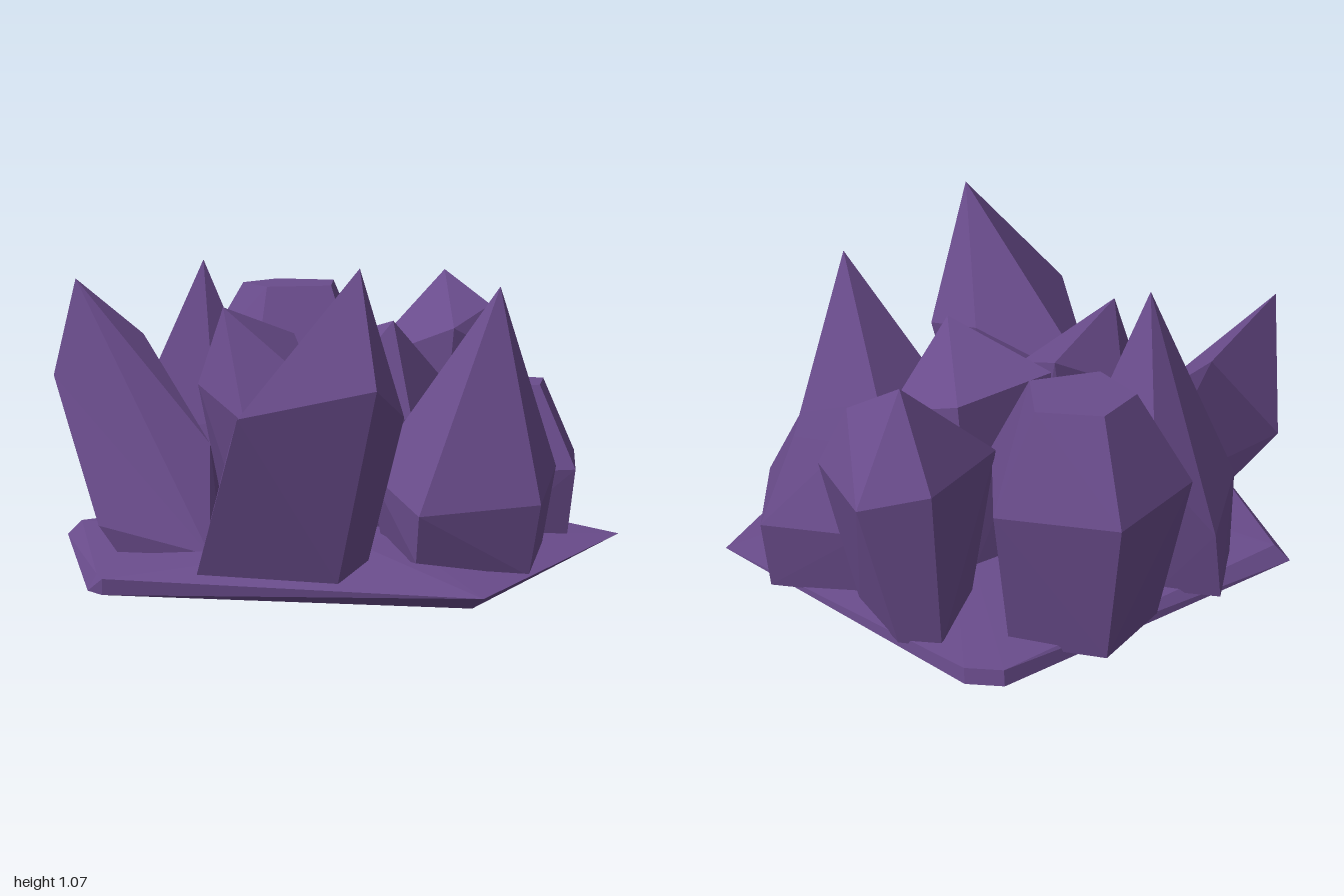
import * as THREE from 'three';
import { ConvexGeometry } from 'three/addons/geometries/ConvexGeometry.js';

const amethyst = new THREE.MeshStandardMaterial({ color: 0x6a4c8c });
amethyst.name = 'amethyst purple';

// Faceted solid spanned by corner points [x, y, z]
function facet(name, corners) {
  const points = corners.map(([x, y, z]) => new THREE.Vector3(x, y, z));
  const mesh = new THREE.Mesh(new ConvexGeometry(points), amethyst);
  mesh.name = name;
  return mesh;
}

// Level five-sided ring of foot corners around (cx, cz)
function footRing(cx, cz, radius, turn) {
  return Array.from({ length: 5 }, (_, i) => {
    const a = turn + (i * Math.PI * 2) / 5;
    return [cx + radius * Math.sin(a), 0.03, cz - radius * Math.cos(a)];
  });
}

// Puts a flat outline of [x, z] pairs at height y
const atHeight = (y, outline) => outline.map(([x, z]) => [x, y, z]);

export function createModel() {
  const group = new THREE.Group();
  group.name = 'crystalCluster';

  // Rock slab, undercut at the front and left, with a low ridge in the middle
  group.add(facet('baseSlab', [
    ...atHeight(0, [[0.88, 0.12], [0.25, 0.93], [-0.88, 0.53], [-0.92, 0.46], [-0.92, -0.45], [0.27, -0.93], [0.39, -0.88]]),
    ...atHeight(0.045, [[0.985, 0.12], [0.27, 0.995]]),
    ...atHeight(0.055, [[-0.88, 0.54], [-0.89, 0.46], [-0.87, -0.42], [0.27, -0.92], [0.39, -0.87]]),
    [-0.03, 0.12, 0.45], [0.12, 0.12, 0.35],
  ]));

  // Pointed crystals: tip, shoulder corners, then foot corners
  group.add(facet('frontTallCrystal', [
    [-0.08, 1.065, 0.77],
    [-0.06, 0.7, 0.94], [0.09, 0.57, 0.65], [-0.02, 0.63, 0.43], [-0.42, 0.42, 0.23], [-0.48, 0.61, 0.84],
    [-0.58, 0.07, 0.6], [-0.15, 0.06, 0.77], [-0.02, 0.08, 0.6], [-0.1, 0.04, 0.45], [-0.42, 0.04, 0.28],
  ]));
  group.add(facet('frontLeftCrystal', [
    [0.45, 0.97, 0.48],
    [0.12, 0.26, 0.74], [0.53, 0.28, 0.72], [0.7, 0.33, 0.3], [0.4, 0.4, 0.09], [0.05, 0.33, 0.28],
    [0.12, 0.1, 0.7], [0.5, 0.04, 0.69], [0.65, 0.04, 0.3], [0.4, 0.04, 0.14], [0.1, 0.04, 0.3],
  ]));
  group.add(facet('rightLeaningCrystal', [
    [-0.89, 0.95, -0.26],
    [-0.985, 0.64, -0.05], [-0.92, 0.42, -0.28], [-0.65, 0.745, -0.3], [-0.46, 0.4, 0.04], [-0.86, 0.16, 0.2],
    [-0.78, 0.05, -0.04], [-0.8, 0.07, 0.21], [-0.5, 0.07, 0.32], [-0.45, 0.1, 0.22], [-0.55, 0.04, 0.06],
  ]));
  group.add(facet('backRightCrystal', [
    [-0.44, 1.01, -0.25],
    [-0.72, 0.35, -0.38], [-0.53, 0.3, -0.7], [-0.33, 0.55, -0.64], [-0.24, 0.52, -0.22], [-0.42, 0.45, -0.12],
    [-0.57, 0.04, -0.67], [-0.38, 0.04, -0.57], [-0.7, 0.05, -0.42], [-0.3, 0.03, -0.25], [-0.5, 0.03, -0.16],
  ]));
  group.add(facet('backLeftCrystal', [
    [0.51, 0.93, -0.57], [0.65, 0.81, -0.42],
    [0.46, 0.63, -0.76], [0.69, 0.585, -0.7], [0.74, 0.6, -0.37], [0.48, 0.74, -0.29], [0.16, 0.6, -0.45],
    [0.42, 0.04, -0.71], [0.55, 0.04, -0.64], [0.61, 0.04, -0.35], [0.42, 0.04, -0.3], [0.25, 0.04, -0.45],
  ]));
  group.add(facet('innerRightCrystal', [
    [-0.41, 0.87, 0.03],
    [-0.51, 0.62, 0.12], [-0.39, 0.62, -0.14], [-0.13, 0.75, -0.17], [-0.11, 0.6, 0.17], [-0.37, 0.5, 0.24],
    ...footRing(-0.24, 0.04, 0.15, 0),
  ]));
  group.add(facet('innerLeftCrystal', [
    [0.16, 0.825, 0.15],
    [-0.13, 0.7, -0.14], [0.24, 0.68, -0.27], [0.41, 0.55, 0.02], [0.2, 0.5, 0.27], [-0.12, 0.5, 0.17],
    [-0.1, 0.06, -0.2], [0.2, 0.06, -0.31], [0.33, 0.03, -0.05], [0.18, 0.03, 0.14], [-0.04, 0.03, 0.08],
  ]));

  // Blunt crystals: flat top, shoulder and foot
  group.add(facet('backBluntCrystal', [
    ...atHeight(0.88, [[-0.08, -0.84], [0.12, -0.75], [0.07, -0.53], [-0.17, -0.53], [-0.23, -0.72]]),
    ...atHeight(0.55, [[-0.09, -1], [0.27, -0.8], [0.14, -0.33], [-0.25, -0.33], [-0.42, -0.75]]),
    ...footRing(-0.06, -0.63, 0.28, -0.08),
  ]));
  group.add(facet('leftBluntCrystal', [
    ...atHeight(0.575, [[0.61, -0.22], [0.77, -0.12], [0.71, 0.05], [0.53, 0.05], [0.47, -0.1]]),
    ...atHeight(0.295, [[0.6, -0.36], [0.91, -0.19], [0.8, 0.2], [0.47, 0.2], [0.33, -0.15]]),
    ...atHeight(0.045, [[0.61, -0.31], [0.88, -0.17], [0.78, 0.17], [0.49, 0.18], [0.38, -0.14]]),
  ]));

  return group;
}
